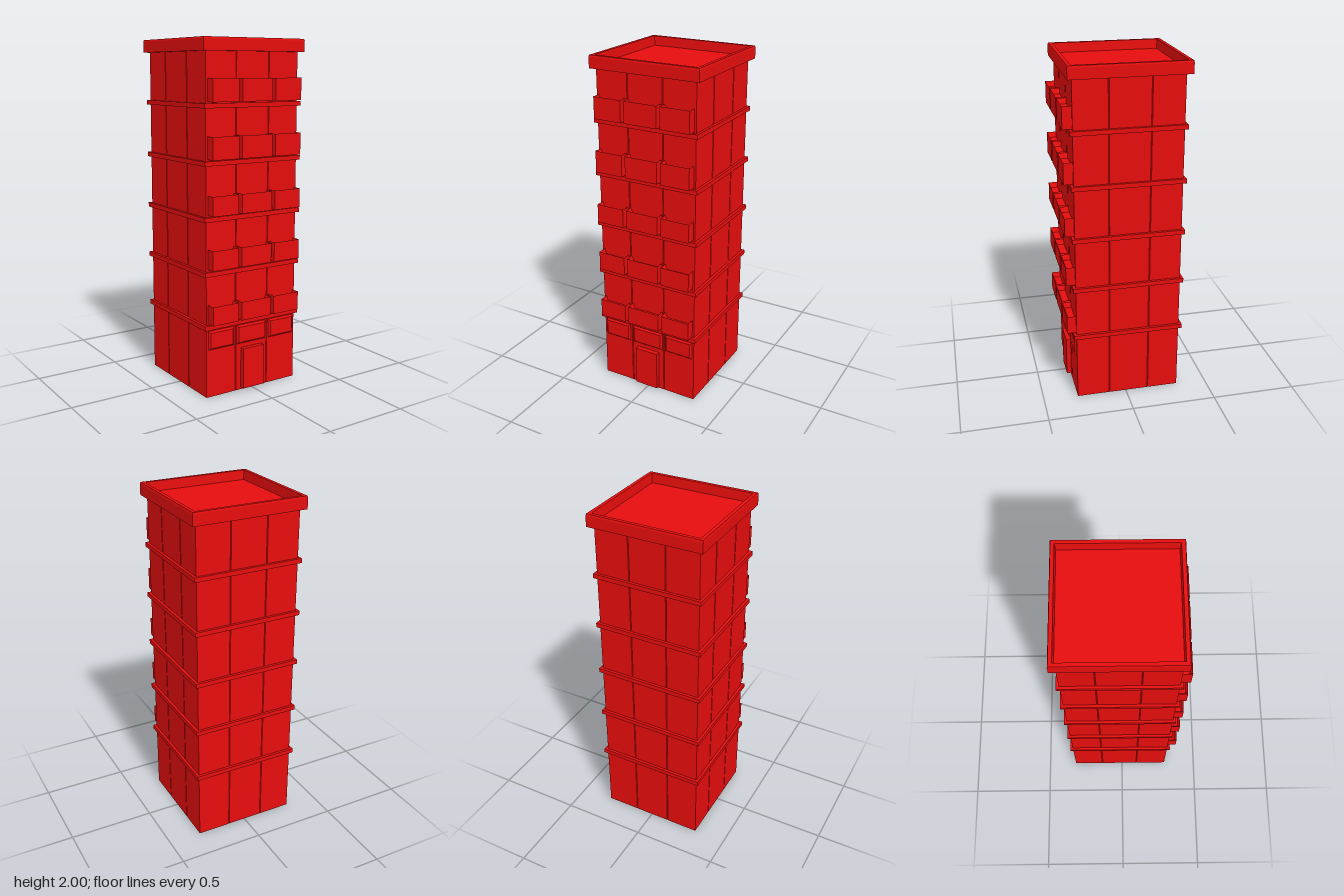
import * as THREE from 'three';

const material = new THREE.MeshStandardMaterial({ color: 0xe60d0d, flatShading: true });

// Plan limits of the tower walls
const X0 = -0.308, X1 = 0.306, Z0 = -0.32, Z1 = 0.295;

// Closed solid through rectangles [height, x0, x1, z0, z1], bottom to top
function loft(rects) {
  const loops = rects.map(([y, x0, x1, z0, z1]) =>
    [[x0, y, z1], [x1, y, z1], [x1, y, z0], [x0, y, z0]]);
  const pos = [];
  const quad = (a, b, c, d) => pos.push(...a, ...b, ...c, ...a, ...c, ...d);
  for (let k = 0; k + 1 < loops.length; k++) {
    for (let i = 0; i < 4; i++) {
      const j = (i + 1) % 4;
      quad(loops[k][i], loops[k][j], loops[k + 1][j], loops[k + 1][i]);
    }
  }
  const [p, q, r, s] = loops[0];
  quad(s, r, q, p);
  quad(...loops[loops.length - 1]);
  const geometry = new THREE.BufferGeometry();
  geometry.setAttribute('position', new THREE.Float32BufferAttribute(pos, 3));
  geometry.computeVertexNormals();
  return geometry;
}

// Wall plan with narrow V grooves dividing each side into three panels
function towerGeometry() {
  const g = 0.003, xs = [-0.112, 0.106], zs = [0.1, -0.135];
  const pts = [[X0, Z1]];
  for (const x of xs) pts.push([x - g, Z1], [x, Z1 - g], [x + g, Z1]);
  pts.push([X1, Z1]);
  for (const z of zs) pts.push([X1, z + g], [X1 - g, z], [X1, z - g]);
  pts.push([X1, Z0]);
  for (const x of [...xs].reverse()) pts.push([x + g, Z0], [x, Z0 + g], [x - g, Z0]);
  pts.push([X0, Z0]);
  for (const z of [...zs].reverse()) pts.push([X0, z - g], [X0 + g, z], [X0, z + g]);
  const shape = new THREE.Shape(pts.map(([x, z]) => new THREE.Vector2(x, -z)));
  return new THREE.ExtrudeGeometry(shape, { depth: 1.935, bevelEnabled: false }).rotateX(-Math.PI / 2);
}

export function createModel() {
  const model = new THREE.Group();
  model.name = 'towerBlock';
  const add = (name, geometry) => {
    const mesh = new THREE.Mesh(geometry, material);
    mesh.name = name;
    model.add(mesh);
  };

  add('walls', towerGeometry());

  // Floor ledges
  [0.413, 0.718, 1.024, 1.331, 1.64].forEach((y, i) => {
    const e = 0.016;
    add(`ledge${i + 1}`, loft([
      [y - 0.013, X0 - e, X1 + e, Z0 - e, Z1 + e],
      [y + 0.013, X0 - e, X1 + e, Z0 - e, Z1 + e],
    ]));
  });

  // Cornice with raised parapet around a sunken roof deck
  add('roofParapet', loft([
    [1.928, -0.335, 0.335, -0.35, 0.322],
    [1.99, -0.335, 0.335, -0.35, 0.322],
    [2.0, -0.332, 0.332, -0.347, 0.319],
    [2.0, -0.312, 0.312, -0.327, 0.298],
    [1.945, -0.308, 0.308, -0.323, 0.294],
  ]));

  const bays = [[-0.296, -0.126], [-0.105, 0.097], [0.118, 0.295]];

  // Balconies: open boxes with sloping inner sides
  const floors = [[0.434, 0.542], [0.745, 0.857], [1.047, 1.157], [1.352, 1.477], [1.66, 1.785]];
  floors.forEach(([lo, hi], f) => bays.forEach(([a, b], i) => {
    add(`balcony${f + 1}_${i + 1}`, loft([
      [lo, a, b, 0.285, 0.348],
      [hi, a, b, 0.285, 0.348],
      [hi - 0.03, a + 0.012, b - 0.012, 0.285, 0.336],
    ]));
  }));

  // Bevelled ground floor windows, lofted upwards then turned to face the front
  bays.forEach(([a, b], i) => {
    const lo = 0.28, hi = 0.39, e = 0.01;
    add(`groundWindow${i + 1}`, loft([
      [0.285, a, b, -hi, -lo],
      [0.296, a, b, -hi, -lo],
      [0.307, a + e, b - e, -hi + e, -lo - e],
    ]).rotateX(Math.PI / 2));
  });

  // Entrance door
  add('door', loft([
    [0.012, -0.075, 0.07, 0.285, 0.322],
    [0.253, -0.075, 0.07, 0.285, 0.322],
  ]));

  return model;
}
